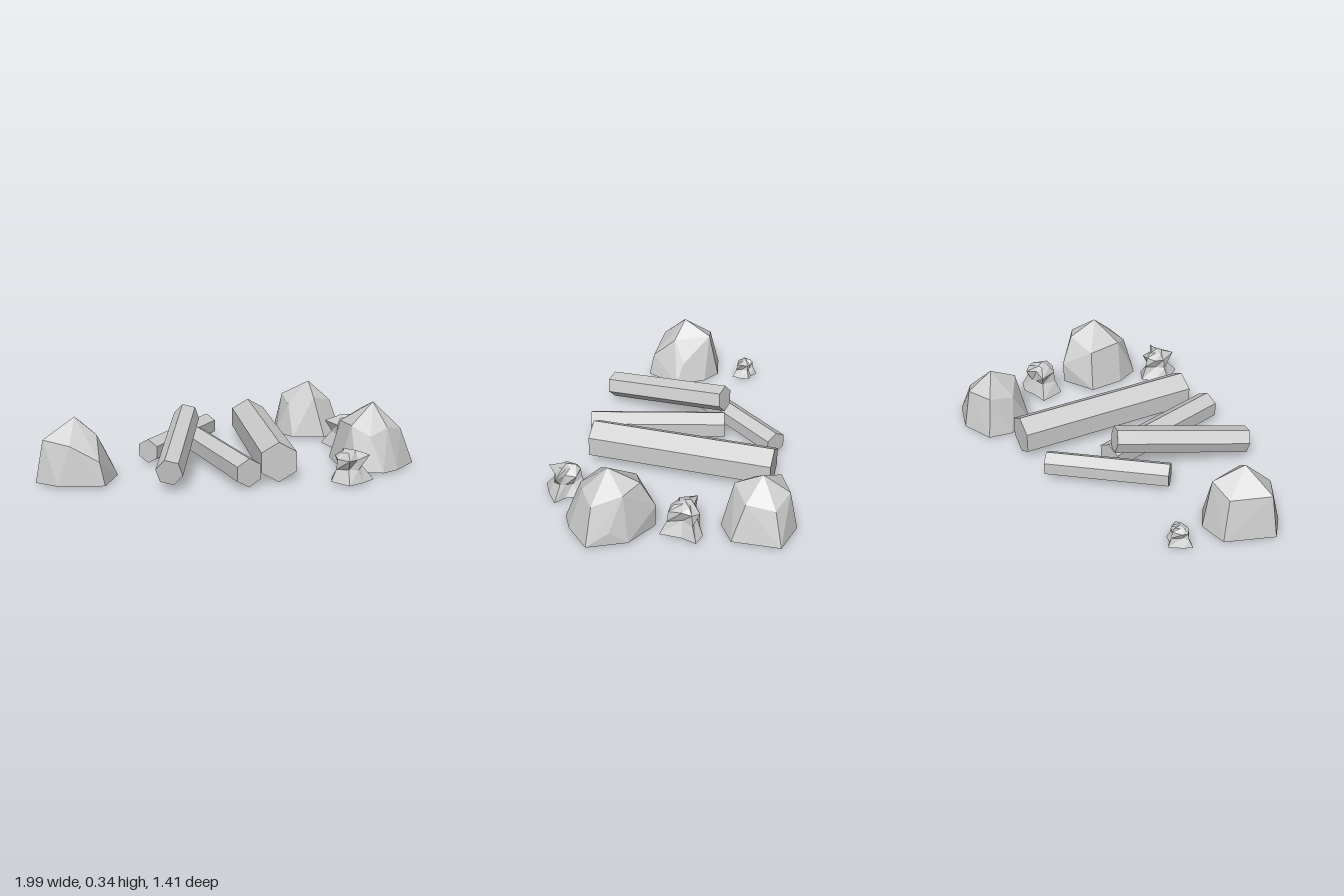
import * as THREE from 'three';
import { ConvexGeometry } from 'three/addons/geometries/ConvexGeometry.js';

const stone = new THREE.MeshStandardMaterial({ color: 0xcccccc, flatShading: true });
stone.name = 'pale grey';
const BASE = 0.01;

// Hexagonal log between two end centres, ridge upwards unless rolled
function log(name, from, to, radius, roll = 0) {
  const a = new THREE.Vector3(...from), b = new THREE.Vector3(...to);
  const geo = new THREE.CylinderGeometry(radius, radius, a.distanceTo(b), 6);
  geo.rotateX(Math.PI / 2).rotateZ(roll);
  const mesh = new THREE.Mesh(geo, stone);
  mesh.name = name;
  mesh.position.copy(a).add(b).multiplyScalar(0.5);
  mesh.lookAt(b);
  return mesh;
}

// Boulder: faceted hull over a ground outline [x, z] and upper corners [x, y, z]
function boulder(name, outline, upper) {
  const points = [
    ...outline.map(([x, z]) => new THREE.Vector3(x, BASE, z)),
    ...upper.map((p) => new THREE.Vector3(...p)),
  ];
  const mesh = new THREE.Mesh(new ConvexGeometry(points), stone);
  mesh.name = name;
  return mesh;
}

// Knobbly small rock: pinched rings lofted above a spiky ground outline
function smallRock(name, [cx, cz], height, outline) {
  const profile = [[1, 0, 0], [0.62, 0.42, 0.08], [0.74, 0.76, 0.1], [0.36, 0.93, 0.06], [0, 1, 0]];
  const rings = profile.map(([s, y, wobble], k) => outline.map(([x, z], i) => {
    const w = s + wobble * ((i + k) % 2 ? 1 : -1);
    return [cx + (x - cx) * w, BASE + height * (y + wobble * 0.5 * ((i % 3) - 1)), cz + (z - cz) * w];
  }));
  const pos = [], n = outline.length;
  const tri = (...corners) => corners.forEach((c) => pos.push(...c));
  for (let i = 0; i < n; i++) {
    const j = (i + 1) % n;
    tri([cx, BASE, cz], rings[0][i], rings[0][j]);
    for (let k = 0; k < rings.length - 1; k++) {
      const lo = rings[k], hi = rings[k + 1];
      tri(lo[j], lo[i], hi[i]);
      if (k < rings.length - 2) tri(lo[j], hi[i], hi[j]);
    }
  }
  const geo = new THREE.BufferGeometry();
  geo.setAttribute('position', new THREE.Float32BufferAttribute(pos, 3));
  geo.computeVertexNormals();
  const mesh = new THREE.Mesh(geo, stone);
  mesh.name = name;
  return mesh;
}

export function createModel() {
  const model = new THREE.Group();
  model.name = 'logsAndRocks';

  // Logs, one leaning on the others
  model.add(
    log('largeLog', [-0.035, 0.107, 0.395], [0.472, 0.107, -0.428], 0.105),
    log('middleLog', [-0.213, 0.08, 0.37], [-0.01, 0.08, -0.32], 0.075),
    log('backLog', [-0.355, 0.077, -0.288], [0.24, 0.077, -0.525], 0.065),
    log('leaningLog', [-0.555, 0.1, 0.16], [-0.055, 0.215, -0.335], 0.07, -0.3),
  );

  // Boulders
  model.add(
    boulder('rightBoulder',
      [[-0.995, -0.375], [-0.795, -0.54], [-0.65, -0.49], [-0.595, -0.39], [-0.6, -0.22], [-0.76, -0.1], [-0.945, -0.25]],
      [[-0.785, 0.33, -0.325], [-0.955, 0.23, -0.36], [-0.79, 0.22, -0.485], [-0.67, 0.26, -0.44],
        [-0.63, 0.12, -0.27], [-0.71, 0.24, -0.24], [-0.77, 0.13, -0.13], [-0.88, 0.21, -0.23]]),
    boulder('backLeftBoulder',
      [[0.605, -0.33], [0.685, -0.43], [0.865, -0.41], [0.995, -0.28], [0.88, -0.065], [0.74, -0.06], [0.6, -0.175]],
      [[0.79, 0.305, -0.25], [0.925, 0.18, -0.27], [0.85, 0.22, -0.37], [0.7, 0.22, -0.38],
        [0.64, 0.19, -0.26], [0.72, 0.235, -0.13], [0.86, 0.2, -0.14]]),
    boulder('frontLeftBoulder',
      [[0.38, 0.415], [0.465, 0.255], [0.66, 0.25], [0.755, 0.41], [0.735, 0.615], [0.565, 0.66], [0.465, 0.655], [0.37, 0.55]],
      [[0.58, 0.34, 0.46], [0.42, 0.235, 0.46], [0.5, 0.22, 0.3], [0.65, 0.275, 0.32], [0.66, 0.13, 0.245],
        [0.71, 0.255, 0.42], [0.745, 0.08, 0.5], [0.68, 0.2, 0.57], [0.56, 0.225, 0.585], [0.45, 0.19, 0.57]]),
  );

  // Small rocks
  model.add(
    smallRock('frontSmallRock', [0.25, 0.6], 0.16,
      [[0.155, 0.58], [0.21, 0.53], [0.28, 0.495], [0.33, 0.56], [0.325, 0.63], [0.35, 0.69], [0.26, 0.7], [0.17, 0.695]]),
    smallRock('sideSmallRock', [0.72, 0.12], 0.175,
      [[0.61, 0.145], [0.64, 0.015], [0.72, 0.04], [0.8, 0.05], [0.85, 0.1], [0.79, 0.155], [0.73, 0.25], [0.68, 0.19]]),
    smallRock('backSmallRock', [-0.61, -0.645], 0.1,
      [[-0.69, -0.65], [-0.65, -0.68], [-0.585, -0.71], [-0.57, -0.67], [-0.54, -0.645], [-0.56, -0.6], [-0.595, -0.565], [-0.65, -0.61]]),
  );
  return model;
}
